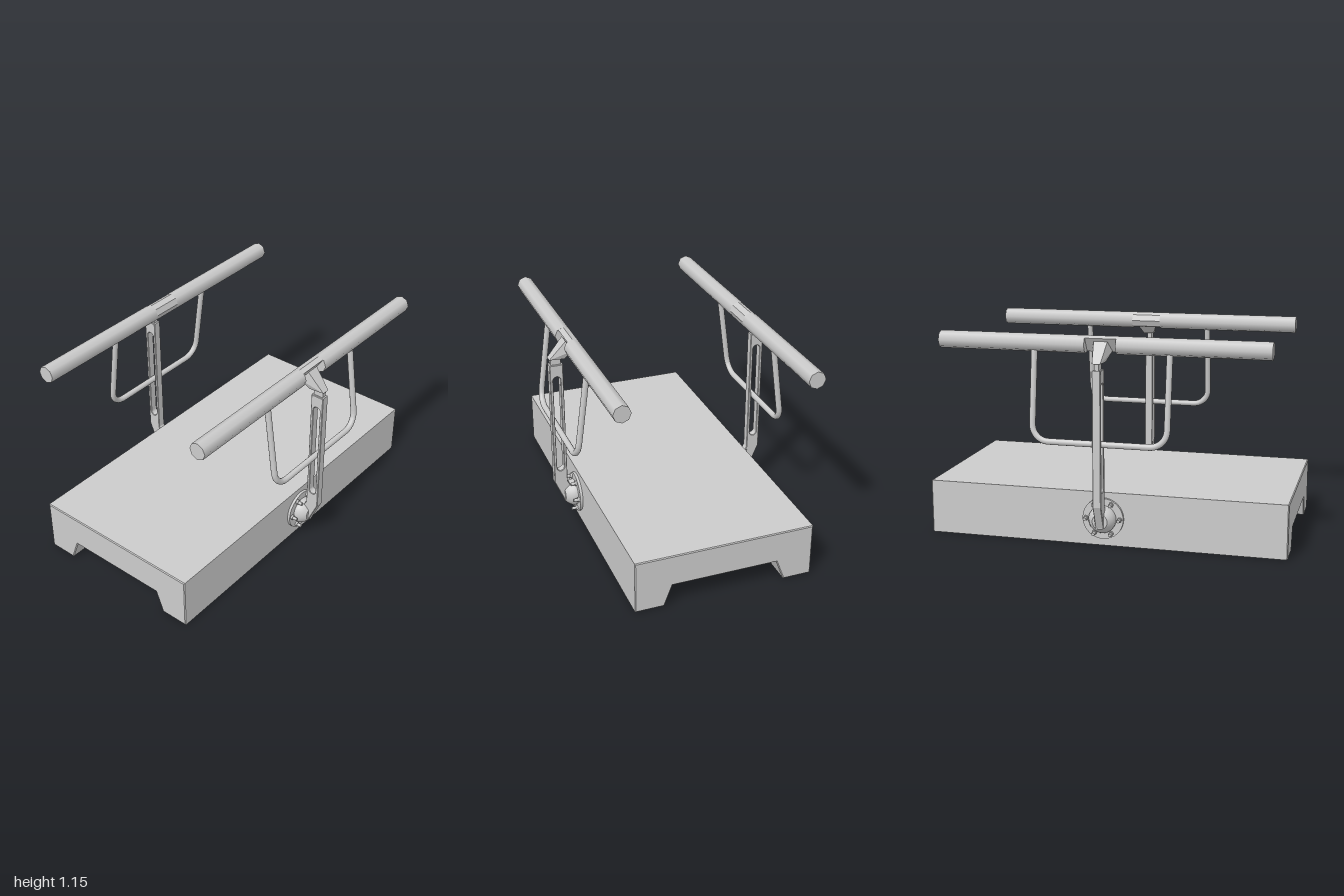
import * as THREE from 'three';
import { toCreasedNormals } from 'three/addons/utils/BufferGeometryUtils.js';
import { ConvexGeometry } from 'three/addons/geometries/ConvexGeometry.js';

const material = new THREE.MeshStandardMaterial({ color: 0xcccccc });
const HUB_Y = 0.155, RAIL_X = 0.52, RAIL_Y = 1.105, RAIL_R = 0.048;

function add(parent, name, geometry, x = 0, y = 0, z = 0) {
  const mesh = new THREE.Mesh(geometry, material);
  mesh.name = name;
  mesh.position.set(x, y, z);
  parent.add(mesh);
  return mesh;
}

const polygon = (points) => new THREE.Shape(points.map(([x, y]) => new THREE.Vector2(x, y)));

// Extrudes along z, centred, with small chamfers at both ends
function slab(shape, depth, bevel) {
  return new THREE.ExtrudeGeometry(shape, {
    depth: depth - 2 * bevel, bevelEnabled: bevel > 0, bevelSize: bevel, bevelThickness: bevel,
    bevelOffset: -bevel, bevelSegments: 1, curveSegments: 12,
  }).translate(0, 0, -depth / 2 + bevel);
}

// Round hub plate with domed centre and a circle of bolts
function addHub(side) {
  const hub = new THREE.Group();
  hub.name = 'hub';
  hub.position.set(0.495, HUB_Y, 0);
  side.add(hub);
  const profile = [[0, 0], [0.114, 0], [0.114, 0.02], [0.075, 0.02], [0.075, 0.04],
    [0.066, 0.058], [0.054, 0.073], [0.042, 0.084], [0, 0.084]];
  const lathe = new THREE.LatheGeometry(profile.map(([r, h]) => new THREE.Vector2(r, h)), 32);
  add(hub, 'hubDome', toCreasedNormals(lathe, 0.5).rotateZ(-Math.PI / 2));
  for (let i = 0; i < 6; i++) {
    const a = i * Math.PI / 3;
    const bolt = new THREE.CylinderGeometry(0.009, 0.009, 0.055, 10).rotateZ(Math.PI / 2);
    add(hub, 'bolt', bolt, 0.0275, 0.094 * Math.sin(a), 0.094 * Math.cos(a));
    const nut = new THREE.CylinderGeometry(0.014, 0.014, 0.012, 6).rotateZ(Math.PI / 2);
    add(hub, 'nut', nut, 0.026, 0.094 * Math.sin(a), 0.094 * Math.cos(a));
  }
}

// Upright arm with a long rounded slot, cranked in to the hub
function addArm(side) {
  const shape = polygon([[0.56, 0.985], [0.56, 0.25], [0.535, 0.2], [0.535, 0.12],
    [0.576, 0.112], [0.635, 0.25], [0.635, 0.985]]);
  const r = 0.021, slot = new THREE.Path();
  slot.absarc(0.5975, 0.893, r, 0, Math.PI);
  slot.absarc(0.5975, 0.346, r, Math.PI, 2 * Math.PI);
  slot.closePath();
  shape.holes.push(slot);
  add(side, 'arm', slab(shape, 0.046, 0.003));
  add(side, 'neck', new THREE.BoxGeometry(0.056, 0.05, 0.026), 0.598, 1.0, 0);

  // Flared bracket between neck and rail: x, y, half width
  const corners = [[0.635, 1.02, 0.022], [0.553, 1.02, 0.03], [0.544, 1.125, 0.037], [0.507, 1.072, 0.055]];
  const points = corners.flatMap(([x, y, w]) => [new THREE.Vector3(x, y, w), new THREE.Vector3(x, y, -w)]);
  add(side, 'bracket', new ConvexGeometry(points));
}

// Eight-sided handrail, cut flat where the bracket meets it
function addRail(side) {
  for (const s of [-1, 1]) {
    const half = new THREE.CylinderGeometry(RAIL_R, RAIL_R, 0.815, 8).rotateX(Math.PI / 2);
    add(side, 'handrail', half, RAIL_X, RAIL_Y, s * 0.4925);
  }
  const notched = [[0.028, 0.036]];
  for (let i = 2; i <= 5; i++) {
    const a = i * Math.PI / 4;
    notched.push([RAIL_R * Math.cos(a), RAIL_R * Math.sin(a)]);
  }
  notched.push([-0.02, -0.04]);
  add(side, 'railSeat', slab(polygon(notched), 0.17, 0), RAIL_X, RAIL_Y, 0);
}

// Tilted U-shaped grab handle hanging from the rail
function addHandle(side) {
  const top = new THREE.Vector3(0.53, 1.085, 0), bottom = new THREE.Vector3(0.597, 0.587, 0);
  const length = top.distanceTo(bottom), w = 0.367, r = 0.09;
  const at = (drop, z) => top.clone().lerp(bottom, drop / length).setZ(z);
  const path = new THREE.CurvePath();
  path.add(new THREE.LineCurve3(at(0, w), at(length - r, w)));
  const corner = (z) => (t) => {
    const a = t * Math.PI / 2;
    return at(length - r + r * Math.sin(a), z * (w - r + r * Math.cos(a)));
  };
  const points = [at(0, w)];
  for (let i = 0; i <= 8; i++) points.push(corner(1)(i / 8));
  for (let i = 8; i >= 0; i--) points.push(corner(-1)(i / 8));
  points.push(at(0, -w));
  path.curves = points.slice(1).map((p, i) => new THREE.LineCurve3(points[i], p));
  add(side, 'grabHandle', new THREE.TubeGeometry(path, 160, 0.017, 12, false));
}

export function createModel() {
  const model = new THREE.Group();
  model.name = 'railedPlatform';

  // Platform with a tapered channel along its underside
  const section = polygon([[-0.5, 0], [-0.34, 0], [-0.295, 0.12], [0.295, 0.12],
    [0.34, 0], [0.5, 0], [0.5, 0.3], [-0.5, 0.3]]);
  add(model, 'platform', slab(section, 2, 0.005));

  // The two sides match under a half turn
  for (const name of ['leftSide', 'rightSide']) {
    const side = new THREE.Group();
    side.name = name;
    if (name === 'rightSide') side.rotation.y = Math.PI;
    addHub(side);
    addArm(side);
    addRail(side);
    addHandle(side);
    model.add(side);
  }
  return model;
}
